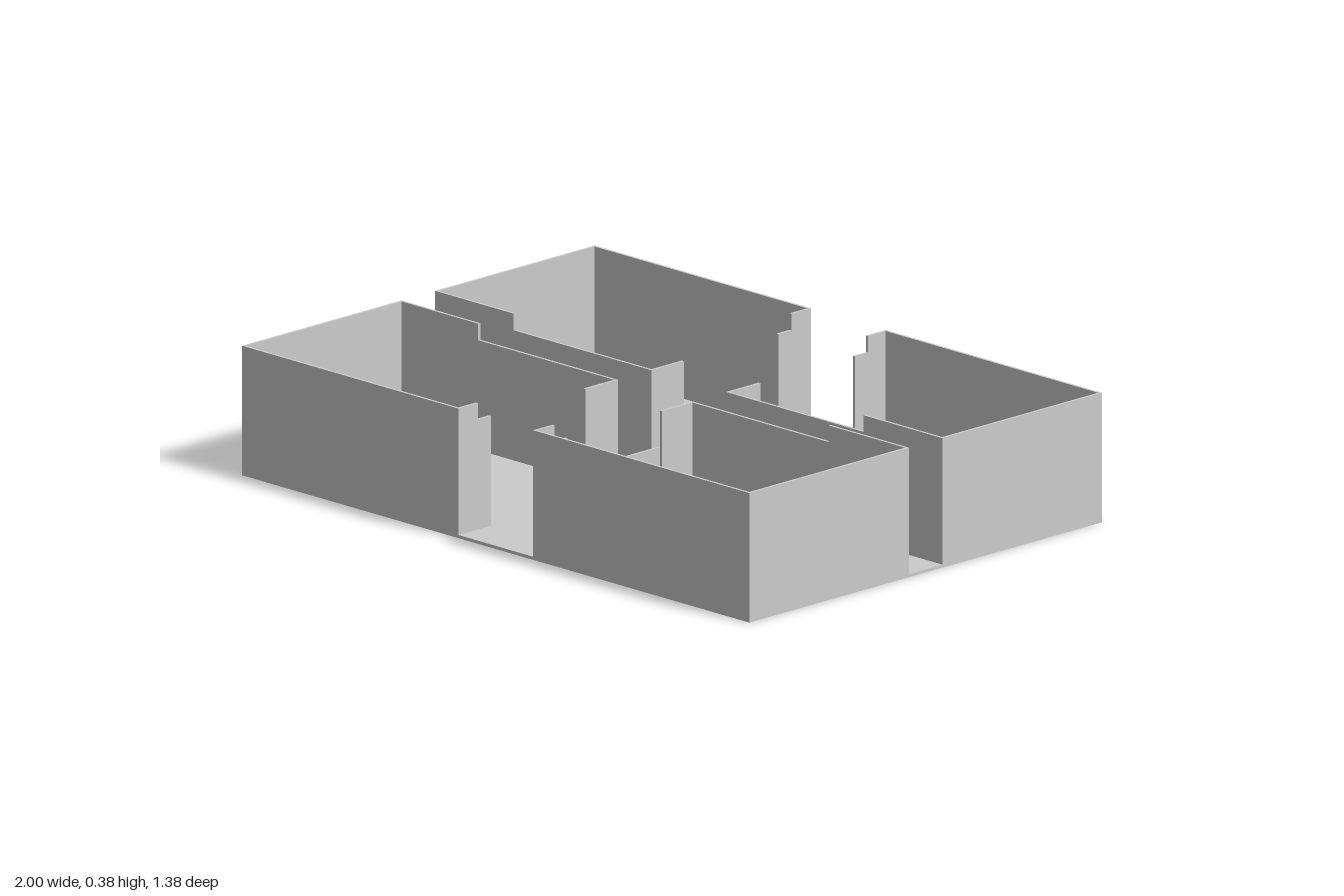
import * as THREE from 'three';

const W = 1, D = 0.688;           // half width and half depth of the plan
const T = 0.008;                  // wall thickness
const FLOOR = 0.009;              // floor slab thickness
const HIGH = 0.375, MID = 0.327, LOW = 0.1; // wall heights
const GX = 0.147, GZ = 0.065;     // half widths of the two passages
const PIT = 0.192;                // half length of the central enclosure

const material = new THREE.MeshStandardMaterial({ color: 0xcccccc, flatShading: true });

// Wall outline (u along the wall, v up) extruded to the wall thickness.
function wall(name, points) {
  const shape = new THREE.Shape(points.map(([u, v]) => new THREE.Vector2(u, v)));
  const geometry = new THREE.ExtrudeGeometry(shape, { depth: T, bevelEnabled: false });
  const mesh = new THREE.Mesh(geometry, material);
  mesh.name = name;
  return mesh;
}

// Wall running along x, occupying z .. z + T.
function wallX(name, z, points) {
  const mesh = wall(name, points);
  mesh.position.z = z;
  return mesh;
}

// Wall running along z, occupying x .. x + T.
function wallZ(name, x, points) {
  const mesh = wall(name, points.map(([u, v]) => [-u, v]));
  mesh.geometry.rotateY(Math.PI / 2);
  mesh.position.x = x;
  return mesh;
}

const rect = (a, b, top) => [[a, FLOOR], [b, FLOOR], [b, top], [a, top]];

// High from a to the step, then lower from the step to b.
const stepped = (a, step, b) =>
  [[a, FLOOR], [b, FLOOR], [b, MID], [step, MID], [step, HIGH], [a, HIGH]];

// One corner room; sx and sz pick the corner of the plan.
function room(name, sx, sz) {
  const group = new THREE.Group();
  group.name = name;
  const x0 = (x) => (sx > 0 ? x : -x - T);
  const z0 = (z) => (sz > 0 ? z : -z - T);
  const alongX = (pts) => pts.map(([u, v]) => [u * sx, v]);
  const alongZ = (pts) => pts.map(([u, v]) => [u * sz, v]);
  group.add(
    wallX('outerLongWall', z0(D - T), alongX(rect(GX, W, HIGH))),
    wallZ('outerEndWall', x0(W - T), alongZ(rect(GZ, D - T, HIGH))),
    wallX('corridorWall', z0(GZ), alongX(stepped(W - T, 0.69, GX))),
    wallZ('entranceStub', x0(GX), alongZ(stepped(D - T, 0.612, 0.56))),
    wallZ('innerStub', x0(GX), alongZ(rect(GZ + T, PIT, MID))),
  );
  return group;
}

export function createModel() {
  const model = new THREE.Group();
  model.name = 'floorPlan';

  const floor = new THREE.Mesh(new THREE.BoxGeometry(2 * W, FLOOR, 2 * D), material);
  floor.name = 'floor';
  floor.position.y = FLOOR / 2;
  model.add(floor);

  for (const sx of [-1, 1])
    for (const sz of [-1, 1])
      model.add(room((sz > 0 ? 'front' : 'back') + (sx > 0 ? 'Left' : 'Right') + 'Room', sx, sz));

  // Low enclosure where the passages cross.
  const enclosure = new THREE.Group();
  enclosure.name = 'centralEnclosure';
  for (const s of [-1, 1]) {
    enclosure.add(
      wallZ('lowSideWall', s > 0 ? GX - T : -GX, rect(-PIT, PIT, LOW)),
      wallX('lowEndWall', s > 0 ? PIT - T : -PIT, rect(-GX + T, GX - T, LOW)),
    );
  }
  model.add(enclosure);
  return model;
}
